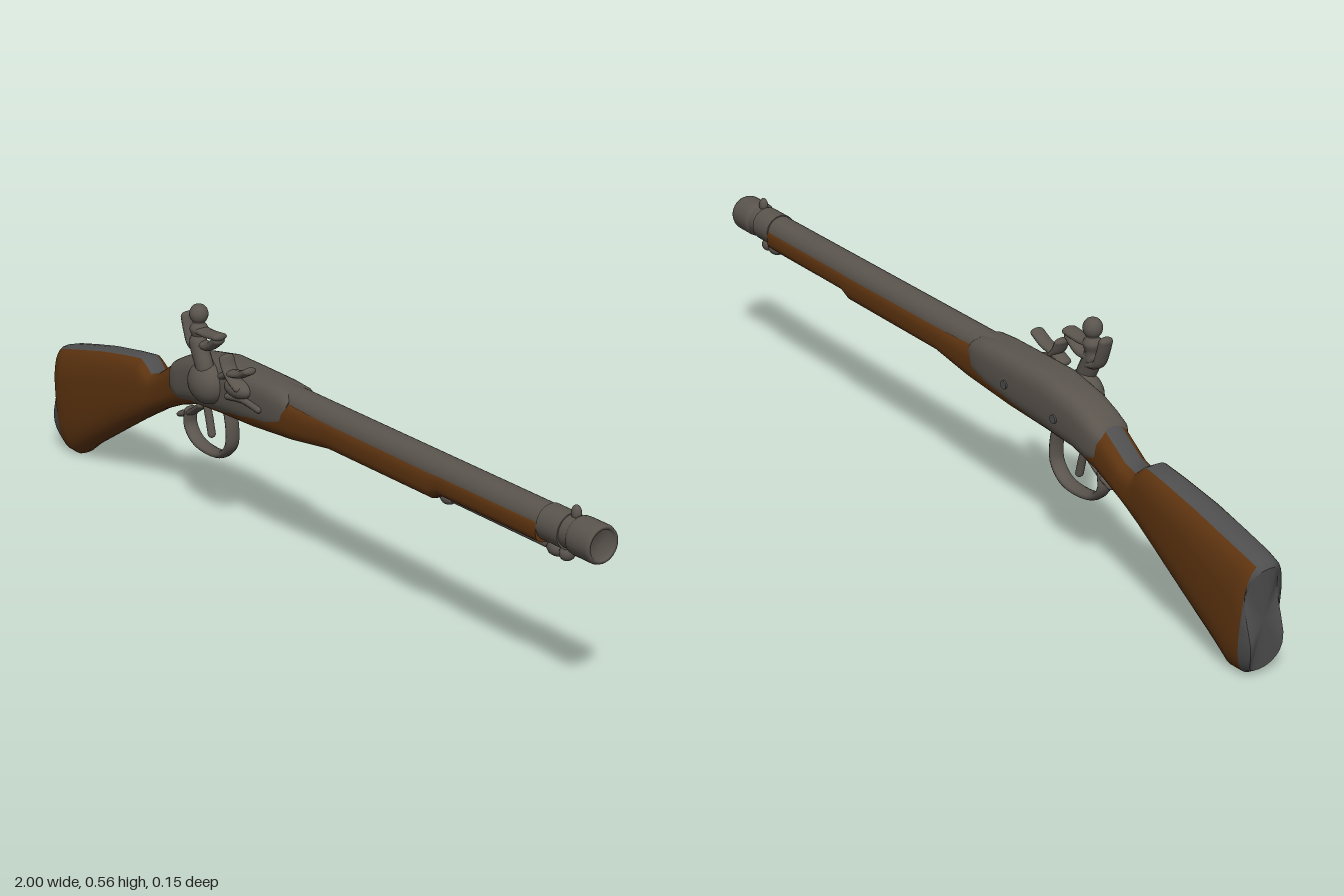
import * as THREE from 'three';

const ZC = -0.017; // centre plane of barrel and stock
const wood = new THREE.MeshStandardMaterial({ color: 0x5e3410, name: 'walnut' });
const steel = new THREE.MeshStandardMaterial({ color: 0x5a544d, name: 'steel' });
const plate = new THREE.MeshStandardMaterial({ color: 0x4e4e4e, name: 'dark plate' });

// Rounded-square sections, each [topX, topY, bottomX, bottomY, halfWidth], skinned along +x.
function loft(stations, { power = 3, paint = () => 0, capPaint = 0, startWave = 0 } = {}) {
  const N = 32, pos = [], buckets = [[], []];
  const bend = (s) => Math.sign(s) * Math.pow(Math.abs(s), 2 / power);
  const ring = (k) => {
    const [tx, ty, bx, by, w] = stations[k];
    for (let j = 0; j < N; j++) {
      const a = (j / N) * Math.PI * 2, v = (1 - bend(Math.sin(a))) / 2;
      const wave = k === 0 ? startWave * Math.sin(2 * Math.PI * v) : 0;
      pos.push(tx + (bx - tx) * v + wave, ty + (by - ty) * v, ZC + w * bend(Math.cos(a)));
    }
  };
  stations.forEach((s, k) => ring(k));
  for (let k = 0; k < stations.length - 1; k++) {
    for (let j = 0; j < N; j++) {
      const a = k * N + j, c = k * N + ((j + 1) % N), b = a + N, d = c + N;
      buckets[paint(k, j, N)].push(a, b, c, b, d, c);
    }
  }
  for (const k of [0, stations.length - 1]) {
    const base = pos.length / 3, [tx, ty, bx, by] = stations[k];
    ring(k);
    pos.push((tx + bx) / 2, (ty + by) / 2, ZC);
    for (let j = 0; j < N; j++) {
      const p = base + j, q = base + ((j + 1) % N);
      if (k === 0) buckets[capPaint].push(base + N, p, q);
      else buckets[0].push(base + N, q, p);
    }
  }
  const g = new THREE.BufferGeometry();
  g.setAttribute('position', new THREE.Float32BufferAttribute(pos, 3));
  g.setIndex([...buckets[0], ...buckets[1]]);
  g.addGroup(0, buckets[0].length, 0);
  g.addGroup(buckets[0].length, buckets[1].length, 1);
  g.computeVertexNormals();
  return g;
}

export function createModel() {
  const model = new THREE.Group();
  const add = (name, geo, mat, x = 0, y = 0, z = 0, parent = model) => {
    const m = new THREE.Mesh(geo, mat);
    m.name = name;
    m.position.set(x, y, z);
    parent.add(m);
    return m;
  };
  // Bent bar in the xy plane, widened in z, with rounded ends.
  const bar = (name, pts, r, z, halfWidth, parent = model) => {
    const part = new THREE.Group();
    part.name = name;
    part.position.z = z;
    part.scale.z = halfWidth / r;
    const curve = new THREE.CatmullRomCurve3(pts.map(([x, y]) => new THREE.Vector3(x, y, 0)));
    add(name + 'Bar', new THREE.TubeGeometry(curve, 28, r, 12), steel, 0, 0, 0, part);
    for (const [x, y] of [pts[0], pts[pts.length - 1]])
      add(name + 'End', new THREE.SphereGeometry(r, 12, 8), steel, x, y, 0, part);
    parent.add(part);
  };
  const rod = (name, x0, x1, r, y, z = ZC) =>
    add(name, new THREE.CylinderGeometry(r, r, x1 - x0, 28).rotateZ(-Math.PI / 2), steel, (x0 + x1) / 2, y, z);

  // Stock with a metal strip on the comb and a metal butt plate
  const stock = loft([
    [-0.995, 0.262, -0.972, 0.018, 0.045],
    [-0.985, 0.276, -0.955, 0.007, 0.052],
    [-0.955, 0.286, -0.915, 0.007, 0.056],
    [-0.88, 0.304, -0.872, 0.04, 0.057],
    [-0.79, 0.324, -0.74, 0.122, 0.055],
    [-0.69, 0.341, -0.66, 0.171, 0.05],
    [-0.625, 0.35, -0.61, 0.2, 0.046],
    [-0.605, 0.338, -0.59, 0.211, 0.044],
    [-0.585, 0.32, -0.565, 0.226, 0.042],
    [-0.55, 0.33, -0.54, 0.239, 0.042],
    [-0.475, 0.382, -0.465, 0.272, 0.044],
    [-0.39, 0.416, -0.385, 0.297, 0.049],
    [-0.28, 0.432, -0.28, 0.304, 0.051],
    [-0.15, 0.43, -0.15, 0.31, 0.051],
    [0, 0.422, 0, 0.324, 0.049],
    [0.06, 0.42, 0.06, 0.333, 0.047],
    [0.13, 0.42, 0.13, 0.343, 0.044],
    [0.49, 0.42, 0.49, 0.343, 0.042],
    [0.52, 0.42, 0.52, 0.358, 0.041],
    [0.84, 0.42, 0.84, 0.36, 0.041],
  ], {
    power: 2.8, capPaint: 1, startWave: 0.018,
    paint: (k, j, N) => (k === 0 || (k < 10 && Math.abs(j + 0.5 - N / 4) < 2) ? 1 : 0),
  });
  add('stock', stock, [wood, plate]);

  // Lock housing wrapped over the wrist and breech
  add('lockHousing', loft([
    [-0.485, 0.372, -0.478, 0.315, 0.038],
    [-0.47, 0.388, -0.468, 0.297, 0.048],
    [-0.44, 0.404, -0.44, 0.29, 0.051],
    [-0.39, 0.424, -0.39, 0.3, 0.053],
    [-0.29, 0.443, -0.29, 0.308, 0.055],
    [-0.18, 0.443, -0.18, 0.316, 0.054],
    [-0.08, 0.442, -0.08, 0.328, 0.053],
    [-0.03, 0.438, -0.03, 0.342, 0.051],
    [-0.01, 0.425, -0.01, 0.36, 0.045],
  ]), [steel, steel]);

  // Barrel turned as one profile, with a thicker hollow muzzle
  const barrel = [[0, -0.3], [0.038, -0.3], [0.037, 0.925], [0.042, 0.932], [0.043, 0.94], [0.043, 0.992],
    [0.04, 1], [0.034, 1], [0.03, 0.99], [0, 0.988]].map(([r, x]) => new THREE.Vector2(r, x));
  add('barrel', new THREE.LatheGeometry(barrel, 32).rotateZ(-Math.PI / 2), steel, 0, 0.404, ZC);
  rod('muzzleBand', 0.84, 0.905, 0.0405, 0.403);
  add('frontSight', new THREE.SphereGeometry(0.012, 14, 10).scale(1, 1.5, 0.9), steel, 0.917, 0.447, ZC);

  // Ramrod and its holders
  rod('ramrod', 0.51, 0.895, 0.009, 0.352);
  for (const [x, l] of [[0.515, 0.021], [0.862, 0.024], [0.895, 0.016]])
    add('ramrodHolder', new THREE.SphereGeometry(0.018, 16, 12).scale(l / 0.018, 1, 1.1), steel, x, 0.353, ZC);

  // Trigger and guard
  bar('triggerGuard', [[-0.45, 0.262], [-0.452, 0.225], [-0.425, 0.195], [-0.37, 0.183], [-0.315, 0.191],
    [-0.284, 0.222], [-0.28, 0.262], [-0.288, 0.305]], 0.0095, ZC, 0.019);
  bar('guardTang', [[-0.485, 0.242], [-0.45, 0.255], [-0.4, 0.288]], 0.008, ZC, 0.017);
  bar('trigger', [[-0.385, 0.3], [-0.374, 0.265], [-0.364, 0.225]], 0.0085, ZC, 0.01);

  // Round boss on the lock and the hammer above it
  add('lockBoss', new THREE.SphereGeometry(0.054, 28, 18).scale(1.05, 0.95, 0.78), steel, -0.307, 0.383, 0.033);
  const hammer = new THREE.Group();
  hammer.name = 'hammer';
  model.add(hammer);
  bar('hammerNeck', [[-0.305, 0.385], [-0.304, 0.42], [-0.318, 0.45], [-0.33, 0.475]], 0.024, 0.042, 0.021, hammer);
  bar('hammerSpur', [[-0.325, 0.458], [-0.355, 0.468], [-0.368, 0.495], [-0.378, 0.527]], 0.011, 0.038, 0.018, hammer);
  bar('lowerJaw', [[-0.335, 0.475], [-0.29, 0.477], [-0.255, 0.5]], 0.011, 0.038, 0.017, hammer);
  bar('upperJaw', [[-0.34, 0.51], [-0.3, 0.506], [-0.25, 0.51]], 0.009, 0.038, 0.02, hammer);
  const screw = [[0, 0.46], [0.016, 0.465], [0.016, 0.488], [0.02, 0.5], [0.022, 0.509], [0.018, 0.518],
    [0.014, 0.524], [0.02, 0.533], [0.0225, 0.545], [0.019, 0.557], [0.011, 0.565], [0, 0.566]];
  add('jawScrew', new THREE.LatheGeometry(new THREE.SplineCurve(screw.map((p) => new THREE.Vector2(...p)))
    .getPoints(36), 20), steel, -0.332, 0, 0.038, hammer);

  // Pan, striking plate and its spring
  add('pan', new THREE.SphereGeometry(0.03, 20, 12).scale(1.5, 0.75, 0.85), steel, -0.18, 0.405, 0.036);
  bar('strikingPlate', [[-0.218, 0.47], [-0.207, 0.447], [-0.185, 0.425], [-0.16, 0.412]], 0.009, 0.042, 0.021);
  bar('strikerArm', [[-0.228, 0.424], [-0.195, 0.438], [-0.16, 0.446], [-0.128, 0.462]], 0.009, 0.042, 0.018);
  bar('lockSpring', [[-0.22, 0.375], [-0.16, 0.383], [-0.1, 0.377]], 0.008, 0.038, 0.008);

  // Screw heads on the far side of the lock
  for (const [x, y] of [[-0.34, 0.36], [-0.16, 0.375]])
    add('sideScrew', new THREE.CylinderGeometry(0.01, 0.01, 0.006, 16).rotateX(Math.PI / 2), plate, x, y, -0.072);

  return model;
}
